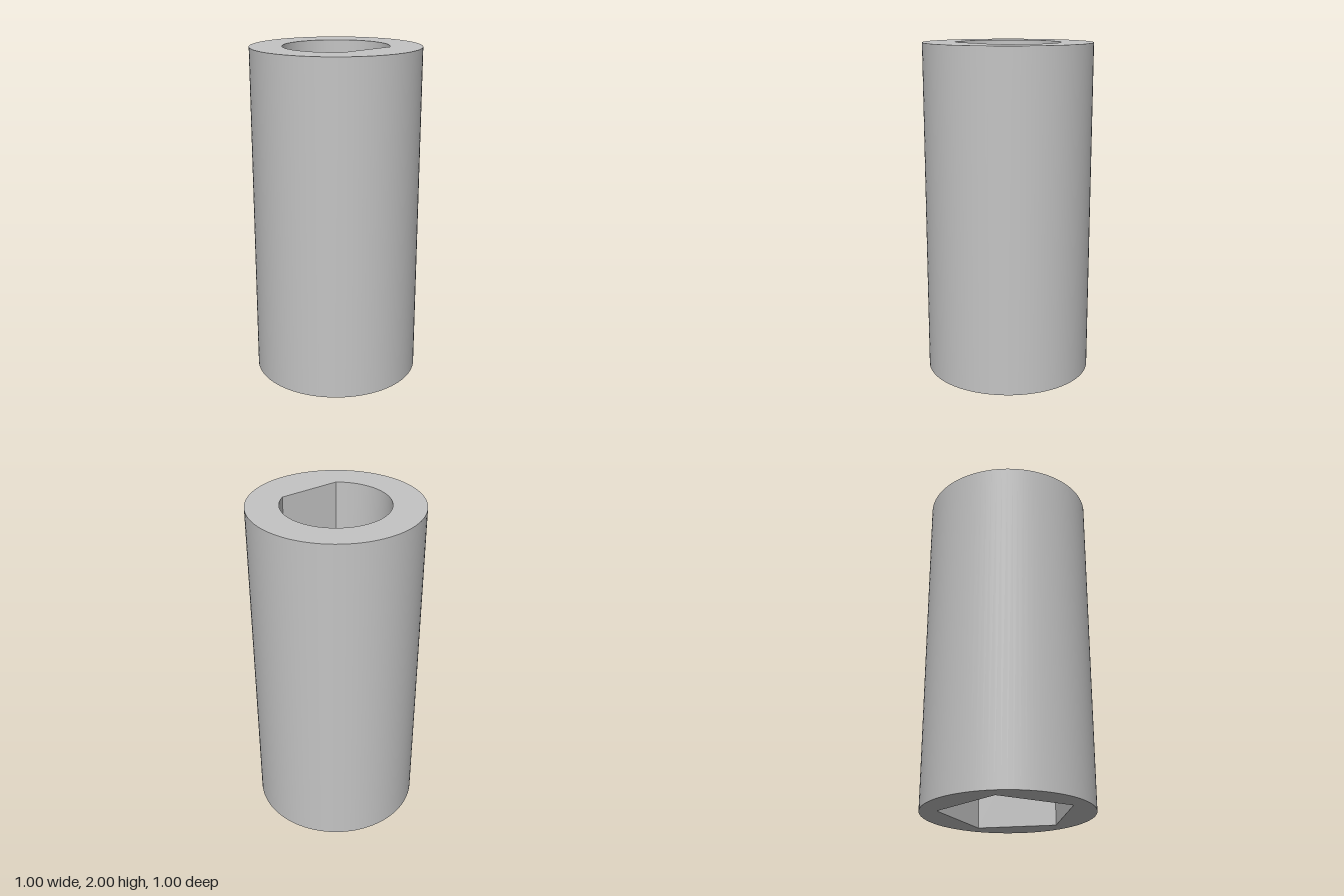
import * as THREE from 'three';
import { toCreasedNormals } from 'three/addons/utils/BufferGeometryUtils.js';

const HEIGHT = 2, RADIUS = 0.5, SOCKET_DEPTH = 0.9, SIDES = 96;

// Points on an arc, counter-clockwise in plan
function arc(radius, start, end, steps) {
  return Array.from({ length: steps + 1 }, (_, i) => {
    const a = start + ((end - start) * i) / steps;
    return new THREE.Vector2(radius * Math.cos(a), radius * Math.sin(a));
  });
}

// Inward-facing wall following a closed outline
function socketWall(outline, y0, y1) {
  const pos = [];
  outline.forEach((a, i) => {
    const b = outline[(i + 1) % outline.length];
    const [a0, b0, a1, b1] = [[a, y0], [b, y0], [a, y1], [b, y1]].map(([p, y]) => [p.x, y, -p.y]);
    pos.push(...b0, ...a0, ...a1, ...b0, ...a1, ...b1);
  });
  const geo = new THREE.BufferGeometry();
  geo.setAttribute('position', new THREE.Float32BufferAttribute(pos, 3));
  return toCreasedNormals(geo, Math.PI / 6);
}

// Flat horizontal face, optionally with a hole, facing up (1) or down (-1)
function flatFace(outline, hole, y, facing) {
  const shape = new THREE.Shape(outline);
  if (hole) shape.holes.push(new THREE.Path(hole));
  return new THREE.ShapeGeometry(shape).rotateX((-facing * Math.PI) / 2).translate(0, y, 0);
}

export function createModel() {
  const group = new THREE.Group();
  group.name = 'shaftCoupler';
  const grey = new THREE.MeshStandardMaterial({ color: 0xc4c4c4 });
  grey.name = 'grey';
  const add = (name, geometry) => {
    const mesh = new THREE.Mesh(geometry, grey);
    mesh.name = name;
    group.add(mesh);
  };

  const rim = arc(RADIUS, 0, Math.PI * 2, SIDES).slice(0, -1);
  // Round bore with a flat at x = 0.25
  const flat = Math.acos(0.25 / 0.311);
  const dBore = arc(0.311, flat, Math.PI * 2 - flat, 64);
  // Five-sided socket with one corner towards +x
  const pentagon = arc(0.4, 0, Math.PI * 2, 5).slice(0, -1);

  // Outer sleeve
  add('outerSleeve', new THREE.CylinderGeometry(RADIUS, RADIUS, HEIGHT, SIDES, 1, true)
    .rotateY(Math.PI / 2).translate(0, HEIGHT / 2, 0));

  // Top end with the D-shaped bore
  add('topFace', flatFace(rim, dBore, HEIGHT, 1));
  add('dBoreWall', socketWall(dBore, HEIGHT - SOCKET_DEPTH, HEIGHT));
  add('dBoreFloor', flatFace(dBore, null, HEIGHT - SOCKET_DEPTH, 1));

  // Bottom end with the pentagonal socket
  add('bottomFace', flatFace(rim, pentagon, 0, -1));
  add('pentagonSocketWall', socketWall(pentagon, 0, SOCKET_DEPTH));
  add('pentagonSocketFloor', flatFace(pentagon, null, SOCKET_DEPTH, -1));

  return group;
}
